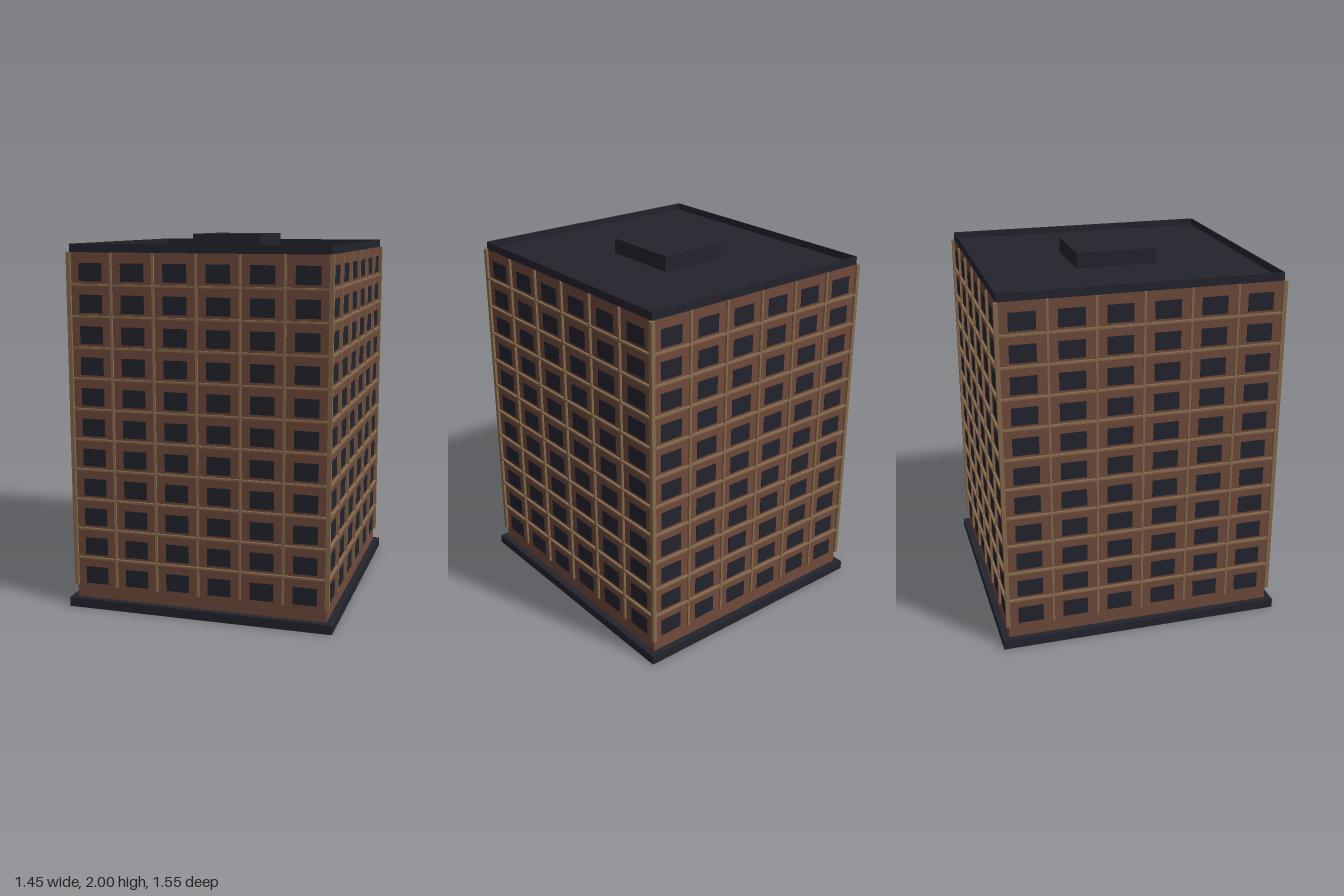
import * as THREE from 'three';

const brick = new THREE.MeshStandardMaterial({ color: 0x6f4a3b });
brick.name = 'brick';
const dark = new THREE.MeshStandardMaterial({ color: 0x23232d });
dark.name = 'dark slate';
const tan = new THREE.MeshStandardMaterial({ color: 0x85694d });
tan.name = 'tan trim';

const HX = 0.69, HZ = 0.74;          // half sizes of the tower
const BOTTOM = 0.05, TOP = 1.912;    // brickwork from plinth to roof
const COLS = 6, ROWS = 11, FLOOR = 0.1633, FIRST = 0.178;

function box(parent, name, mat, w, h, d, x, y, z) {
  const mesh = new THREE.Mesh(new THREE.BoxGeometry(w, h, d), mat);
  mesh.name = name;
  mesh.position.set(x, y, z);
  parent.add(mesh);
  return mesh;
}

// One wall's windows and slim pilasters, facing +z at distance `out`
function facade(half, out, windowWidth) {
  const g = new THREE.Group();
  const cell = (half * 2) / COLS;
  for (let c = 0; c < COLS; c++) {
    const x = (c - (COLS - 1) / 2) * cell;
    for (let r = 0; r < ROWS; r++) {
      box(g, 'window', dark, windowWidth, 0.094, 0.004, x, FIRST + r * FLOOR, out + 0.001);
    }
    if (c > 0) {
      box(g, 'pilaster', tan, 0.012, TOP - 0.12, 0.014, -half + c * cell, (TOP + 0.12) / 2, out + 0.005);
    }
  }
  return g;
}

export function createModel() {
  const model = new THREE.Group();
  model.name = 'apartmentTower';

  // Plinth and brick body
  box(model, 'plinth', dark, 1.45, BOTTOM, 1.55, 0, BOTTOM / 2, 0);
  box(model, 'brickBody', brick, HX * 2, TOP - BOTTOM, HZ * 2, 0, (TOP + BOTTOM) / 2, 0);

  // Four facades
  for (let i = 0; i < 4; i++) {
    const side = i % 2 === 1;
    const wall = side ? facade(HZ, HX, 0.137) : facade(HX, HZ, 0.127);
    wall.name = ['frontFacade', 'leftFacade', 'backFacade', 'rightFacade'][i];
    wall.rotation.y = (i * Math.PI) / 2;
    model.add(wall);
  }

  // Corner posts
  for (const sx of [-1, 1]) {
    for (const sz of [-1, 1]) {
      box(model, 'cornerPost', tan, 0.022, TOP - 0.12, 0.022, sx * (HX + 0.003), (TOP + 0.12) / 2, sz * (HZ + 0.003));
    }
  }

  // Ledges between the floors
  for (let r = 0; r < ROWS - 1; r++) {
    const y = FIRST + (r + 0.6) * FLOOR;
    for (const s of [-1, 1]) {
      box(model, 'ledge', tan, HX * 2 + 0.028, 0.01, 0.014, 0, y, s * (HZ + 0.007));
      box(model, 'ledge', tan, 0.014, 0.01, HZ * 2, s * (HX + 0.007), y, 0);
    }
  }

  // Roof deck, thin parapet and roof housing
  const PT = 0.006, PH = 1.955 - TOP;
  box(model, 'roofDeck', dark, HX * 2, 0.006, HZ * 2, 0, TOP + 0.003, 0);
  for (const s of [-1, 1]) {
    box(model, 'parapet', dark, HX * 2, PH, PT, 0, TOP + PH / 2, s * (HZ - PT / 2));
    box(model, 'parapet', dark, PT, PH, HZ * 2 - PT * 2, s * (HX - PT / 2), TOP + PH / 2, 0);
  }
  box(model, 'roofHousing', dark, 0.384, 2 - TOP, 0.44, 0, (2 + TOP) / 2, 0);

  return model;
}
